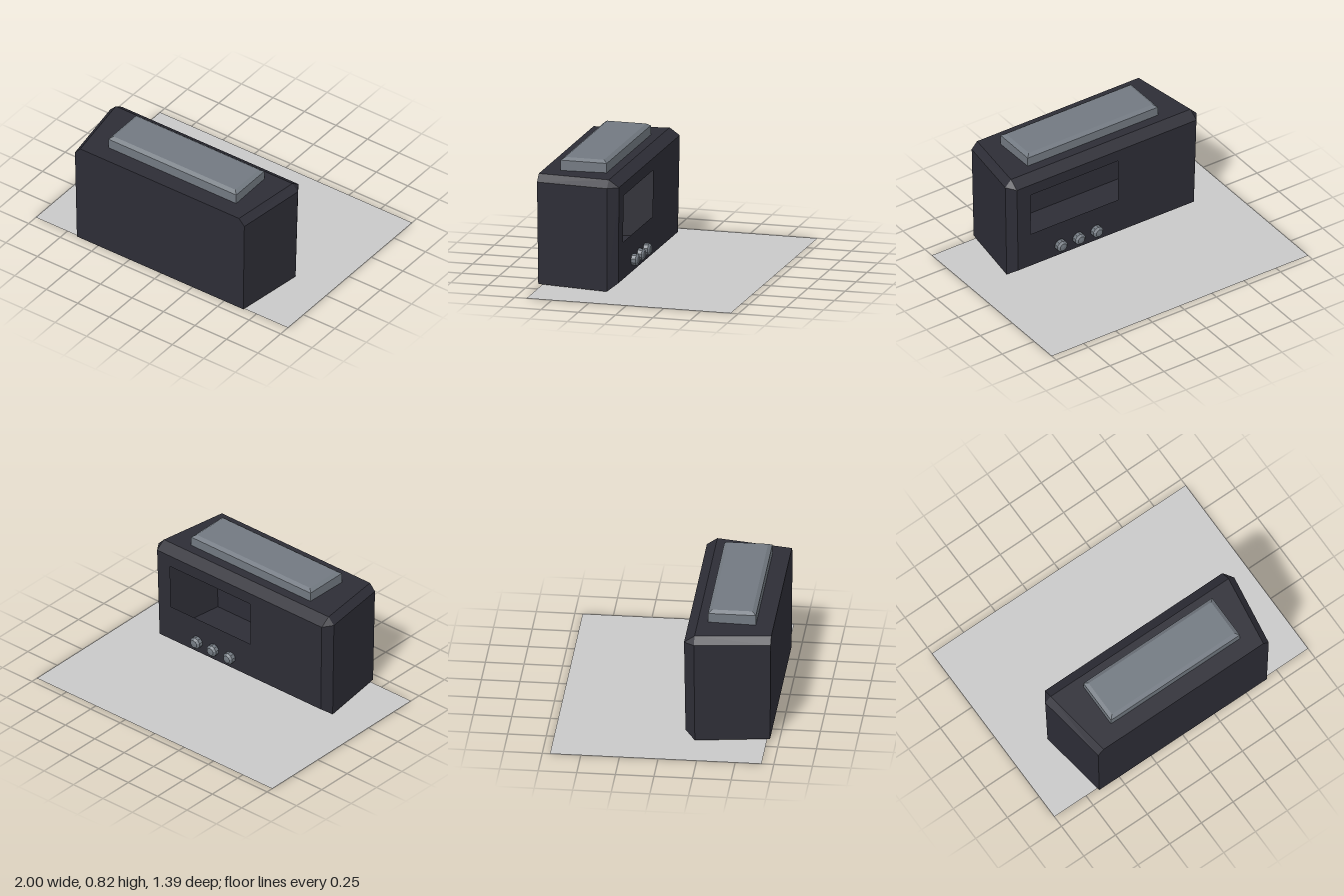
import * as THREE from 'three';

const material = (name, color, extra = {}) =>
  new THREE.MeshStandardMaterial({ name, color, ...extra });

// Flat-faced shell from polygons, each wound to face away from the centre
function shell(polygons, centre) {
  const pos = [];
  const [a, b, c, n] = [0, 1, 2, 3].map(() => new THREE.Vector3());
  for (const poly of polygons) {
    for (let i = 1; i < poly.length - 1; i++) {
      const tri = [poly[0], poly[i], poly[i + 1]];
      a.fromArray(tri[0]); b.fromArray(tri[1]); c.fromArray(tri[2]);
      n.copy(b).sub(a).cross(c.sub(a));
      if (n.dot(a.sub(centre)) < 0) tri.reverse();
      pos.push(...tri.flat());
    }
  }
  const geo = new THREE.BufferGeometry();
  geo.setAttribute('position', new THREE.Float32BufferAttribute(pos, 3));
  geo.computeVertexNormals();
  return geo;
}

// Hollow chamfered housing with a display opening in its back wall
function housingGeometry() {
  // Key corners on one side, s = +1 or -1
  const corners = (s) => ({
    frontLow: [s * 0.66, 0.01, 0.69],
    frontSide: [s * 0.672, 0.69, 0.695],
    frontTop: [s * 0.63, 0.737, 0.695],
    rearLow: [s * 0.73, 0.01, 0.21],
    rearSide: [s * 0.745, 0.70, 0.205],
    rearTop: [s * 0.70, 0.747, 0.205],
    backTop: [s * 0.70, 0.70, 0.137],
    backLow: [s * 0.685, 0.06, 0.145],
  });
  const L = corners(1), R = corners(-1);
  const faces = [
    [L.frontLow, L.frontSide, L.frontTop, R.frontTop, R.frontSide, R.frontLow],
    [L.frontTop, L.rearTop, R.rearTop, R.frontTop],
    [L.rearTop, L.backTop, R.backTop, R.rearTop],
    [L.backLow, L.rearLow, R.rearLow, R.backLow],
    [L.rearLow, L.frontLow, R.frontLow, R.rearLow],
  ];
  for (const k of [L, R]) {
    faces.push(
      [k.frontLow, k.rearLow, k.rearSide, k.frontSide],
      [k.frontSide, k.rearSide, k.rearTop, k.frontTop],
      [k.rearLow, k.backLow, k.backTop, k.rearSide],
      [k.rearSide, k.backTop, k.rearTop],
    );
  }
  // Back wall as a frame around the opening
  const backZ = (y) => 0.145 - 0.0125 * (y - 0.06);
  const hole = [[0.59, 0.62], [-0.09, 0.62], [-0.09, 0.31], [0.59, 0.31]]
    .map(([x, y]) => [x, y, backZ(y)]);
  const rim = [L.backTop, R.backTop, R.backLow, L.backLow];
  for (let i = 0; i < 4; i++) {
    const j = (i + 1) % 4;
    faces.push([rim[i], rim[j], hole[j], hole[i]]);
  }
  return shell(faces, new THREE.Vector3(0, 0.4, 0.42));
}

// Long top button: a box with a bevelled upper rim
function buttonGeometry() {
  const ring = (y, inset) => [
    [-0.49 + inset, y, 0.27 + inset], [0.525 - inset, y, 0.27 + inset],
    [0.525 - inset, y, 0.58 - inset], [-0.49 + inset, y, 0.58 - inset],
  ];
  const rings = [ring(0.735, 0), ring(0.808, 0), ring(0.825, 0.025)];
  const faces = [rings[0], rings[2]];
  for (let r = 0; r < 2; r++) {
    for (let i = 0; i < 4; i++) {
      const j = (i + 1) % 4;
      faces.push([rings[r][i], rings[r][j], rings[r + 1][j], rings[r + 1][i]]);
    }
  }
  return shell(faces, new THREE.Vector3(0.0175, 0.78, 0.425));
}

export function createModel() {
  const model = new THREE.Group();
  model.name = 'alarmClock';
  const dark = material('dark housing', 0x2d2d36, { side: THREE.DoubleSide, flatShading: true });
  const grey = material('grey controls', 0x727981, { side: THREE.DoubleSide, flatShading: true });
  const light = material('light ground', 0xc8c8c8, { side: THREE.DoubleSide });

  const add = (name, geometry, mat) => {
    const mesh = new THREE.Mesh(geometry, mat);
    mesh.name = name;
    model.add(mesh);
    return mesh;
  };

  // Flat sheet beneath the clock
  const sheet = new THREE.PlaneGeometry(2, 1.37).rotateX(-Math.PI / 2);
  add('groundSheet', sheet.translate(0, 0, -0.015), light);

  add('housing', housingGeometry(), dark);
  add('topButton', buttonGeometry(), grey);

  // Three round knobs along the lower back
  const profile = [[0.04, 0], [0.04, 0.035], [0.026, 0.048], [0, 0.052]]
    .map(([r, y]) => new THREE.Vector2(r, y));
  const knob = new THREE.LatheGeometry(profile, 10).rotateX(-Math.PI / 2);
  [0.08, 0.22, 0.36].forEach((x, i) => {
    add(`knob${i + 1}`, knob, grey).position.set(x, 0.138, 0.15);
  });

  return model;
}
